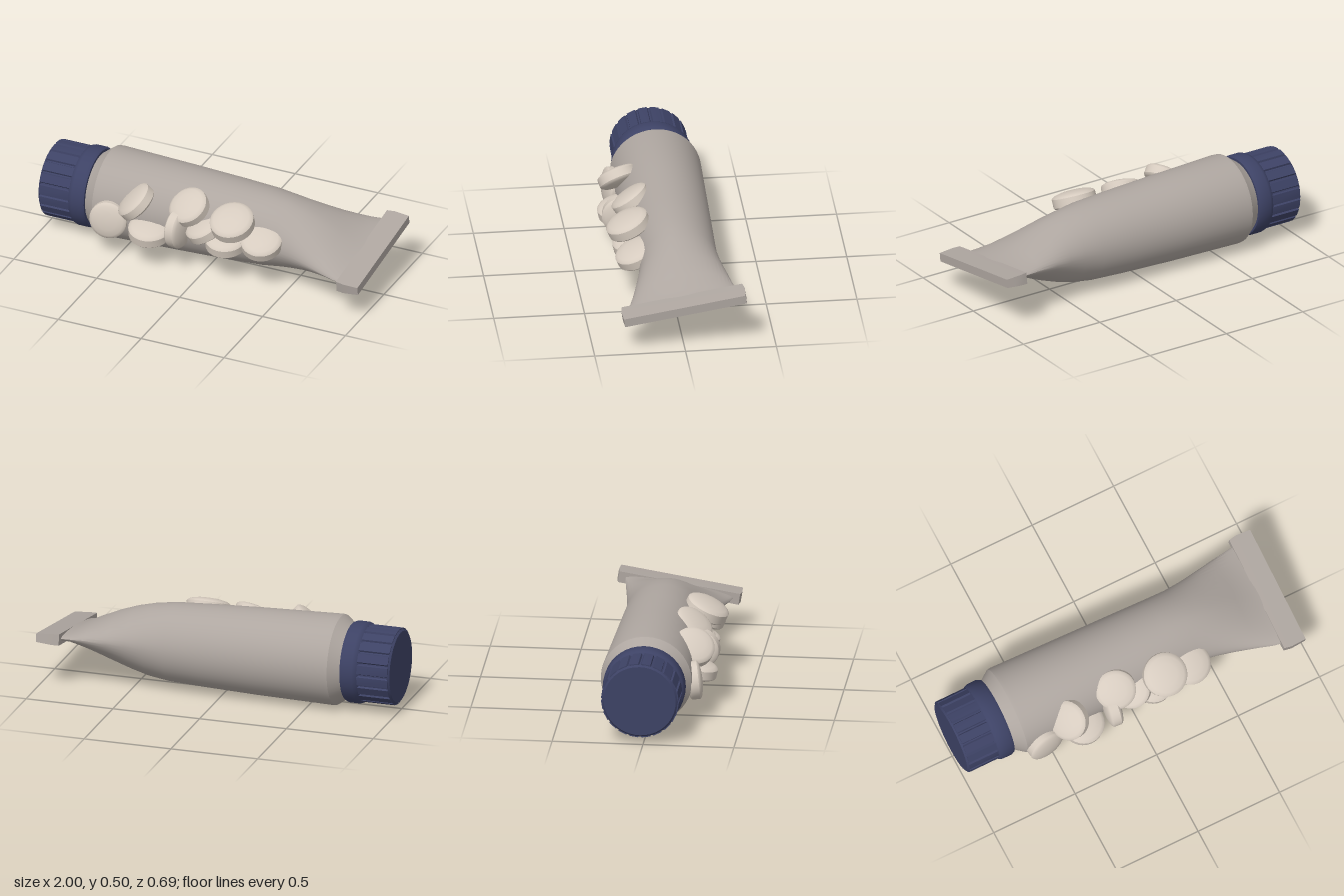
import * as THREE from 'three';
import { toCreasedNormals } from 'three/addons/utils/BufferGeometryUtils.js';

const TILT = 0.16; // the flat end is rolled slightly about the tube's length

const tubeGrey = new THREE.MeshStandardMaterial({ color: 0xaea6a0 });
tubeGrey.name = 'tubeGrey';
const pillCream = new THREE.MeshStandardMaterial({ color: 0xd6cbbf });
pillCream.name = 'pillCream';
const capBlue = new THREE.MeshStandardMaterial({ color: 0x3d4265 });
capBlue.name = 'capBlue';

function part(name, geometry, material, crease = 0.6) {
  const mesh = new THREE.Mesh(toCreasedNormals(geometry, crease), material);
  mesh.name = name;
  return mesh;
}

// Closed loops along x: [x, yCentre, zCentre, halfWidth, halfHeight, exponent]
function loft(rings, n) {
  const pos = [], idx = [];
  const c = Math.cos(TILT), s = Math.sin(TILT);
  for (const [x, yc, zc, a, b, p] of rings) {
    for (let j = 0; j < n; j++) {
      const t = (j / n) * Math.PI * 2;
      const w = Math.sign(Math.cos(t)) * Math.abs(Math.cos(t)) ** (2 / p) * a;
      const h = Math.sign(Math.sin(t)) * Math.abs(Math.sin(t)) ** (2 / p) * b;
      pos.push(x, yc + h * c - w * s, zc + w * c + h * s);
    }
  }
  for (let i = 0; i < rings.length - 1; i++) {
    for (let j = 0; j < n; j++) {
      const k = (j + 1) % n;
      const A = i * n + j, B = A + n, C = i * n + k, D = C + n;
      idx.push(A, B, C, C, B, D);
    }
  }
  const g = new THREE.BufferGeometry();
  g.setAttribute('position', new THREE.Float32BufferAttribute(pos, 3));
  g.setIndex(idx);
  return g;
}

// Round bar along x from a [radius, x] profile
function turned(profile, segments) {
  const g = new THREE.LatheGeometry(profile.map(([r, x]) => new THREE.Vector2(r, x)), segments);
  g.rotateZ(-Math.PI / 2);
  return g;
}

export function createModel() {
  const model = new THREE.Group();
  model.name = 'pillTube';

  // Tube: round shoulder narrowing to a flat wedge
  model.add(part('tubeBody', loft([
    [-0.74, 0.252, -0.02, 0.19, 0.19, 2],
    [-0.715, 0.252, -0.02, 0.205, 0.205, 2],
    [-0.655, 0.253, -0.018, 0.25, 0.25, 2],
    [-0.635, 0.253, -0.018, 0.252, 0.252, 2],
    [-0.2, 0.251, -0.022, 0.236, 0.241, 2],
    [0.1, 0.25, -0.024, 0.226, 0.229, 2],
    [0.3, 0.25, -0.026, 0.218, 0.219, 1.95],
    [0.42, 0.25, -0.027, 0.215, 0.202, 1.85],
    [0.52, 0.25, -0.022, 0.228, 0.176, 1.8],
    [0.62, 0.249, -0.016, 0.248, 0.141, 1.75],
    [0.74, 0.247, -0.008, 0.274, 0.088, 1.75],
    [0.83, 0.246, 0, 0.294, 0.042, 1.8],
    [0.9, 0.246, 0, 0.305, 0.026, 2],
  ], 48), tubeGrey, 0.5));

  // Crimped end strip, thicker and wider where it meets the tube
  const strip = new THREE.BoxGeometry(0.13, 0.062, 0.692, 3, 1, 1);
  const sp = strip.attributes.position;
  for (let i = 0; i < sp.count; i++) {
    const k = (sp.getX(i) + 0.065) / 0.13;
    const f = k < 0.1 ? 0.97 : 1;
    sp.setY(i, sp.getY(i) * (1.06 - 0.28 * k) * f);
    sp.setZ(i, sp.getZ(i) * (1 - 0.02 * k) * f);
  }
  strip.computeVertexNormals();
  const stripMesh = part('crimpedEnd', strip, tubeGrey);
  stripMesh.rotation.x = TILT;
  stripMesh.position.set(0.932, 0.246, 0);
  model.add(stripMesh);

  // Cap: smooth collar and fluted grip
  const cap = new THREE.Group();
  cap.name = 'cap';
  cap.position.set(0, 0.252, -0.018);
  cap.add(part('capCollar', turned([
    [0, -0.82], [0.205, -0.82], [0.22, -0.808], [0.226, -0.79],
    [0.226, -0.735], [0.218, -0.718], [0, -0.718],
  ], 40), capBlue));
  const flutes = 20;
  const shape = new THREE.Shape();
  for (let i = 0; i < flutes; i++) {
    [[0.06, 0.204], [0.14, 0.214], [0.86, 0.214], [0.94, 0.204]].forEach(([u, r], j) => {
      const a = ((i + u) / flutes) * Math.PI * 2;
      shape[i + j === 0 ? 'moveTo' : 'lineTo'](r * Math.cos(a), r * Math.sin(a));
    });
  }
  const gripGeo = new THREE.ExtrudeGeometry(shape, { depth: 0.18, bevelEnabled: false });
  gripGeo.rotateY(Math.PI / 2);
  gripGeo.translate(-0.99, 0, 0);
  cap.add(part('capGrip', gripGeo, capBlue, 0.4));
  cap.add(part('capEnd', turned([
    [0, -1], [0.198, -1], [0.209, -0.988], [0, -0.988],
  ], 40), capBlue));
  model.add(cap);

  // Pills: domed discs, each with [centre], [axis], radius
  const pillGeo = toCreasedNormals(new THREE.LatheGeometry([
    [0, -0.43], [0.5, -0.4], [0.82, -0.33], [0.95, -0.26], [1, -0.2],
    [1, 0.2], [0.95, 0.26], [0.82, 0.33], [0.5, 0.4], [0, 0.43],
  ].map(([r, y]) => new THREE.Vector2(r, y)), 28), 0.5);
  const pills = [
    [[-0.565, 0.29, 0.165], [-0.25, 0.5, 0.8], 0.105],
    [[-0.55, 0.225, 0.235], [0.15, 0.1, 0.98], 0.106],
    [[-0.395, 0.36, 0.215], [-0.62, 0.72, 0.3], 0.113],
    [[-0.31, 0.205, 0.22], [0.06, 0.97, 0.22], 0.118],
    [[-0.135, 0.262, 0.22], [0.99, 0.02, 0.12], 0.112],
    [[-0.09, 0.382, 0.18], [-0.2, 0.8, 0.55], 0.112],
    [[0.005, 0.28, 0.185], [-0.38, 0.86, 0.32], 0.108],
    [[0.19, 0.375, 0.225], [0, 0.9, 0.42], 0.122],
    [[0.135, 0.228, 0.19], [0.05, 0.97, 0.22], 0.114],
    [[0.355, 0.28, 0.2], [0.1, 0.9, 0.42], 0.115],
  ];
  const up = new THREE.Vector3(0, 1, 0);
  pills.forEach(([centre, axis, r], i) => {
    const pill = new THREE.Mesh(pillGeo, pillCream);
    pill.name = `pill${i + 1}`;
    pill.position.set(...centre);
    pill.quaternion.setFromUnitVectors(up, new THREE.Vector3(...axis).normalize());
    pill.scale.setScalar(r);
    model.add(pill);
  });

  return model;
}
